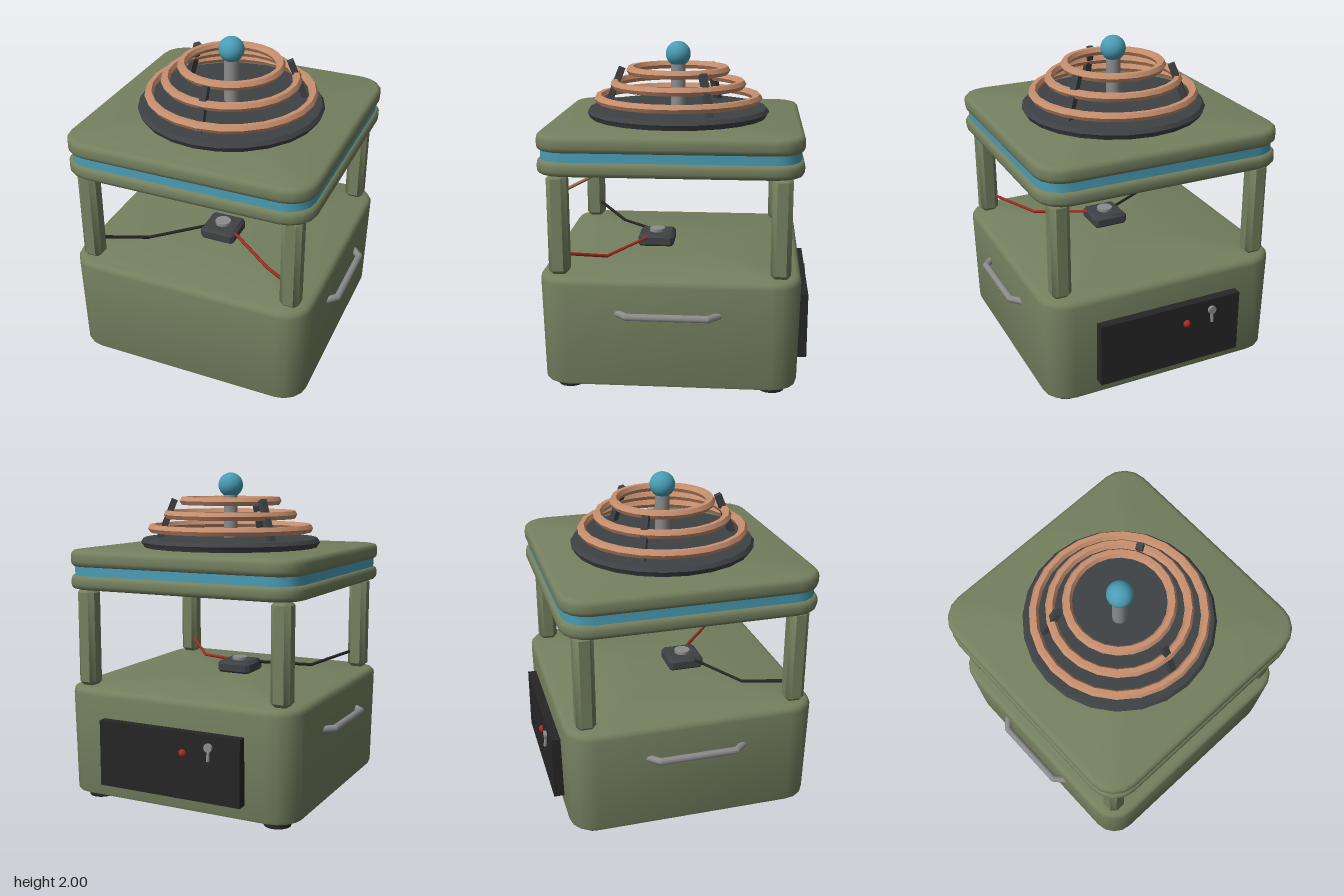
import * as THREE from 'three';
import { toCreasedNormals } from 'three/addons/utils/BufferGeometryUtils.js';

const mat = (color) => new THREE.MeshStandardMaterial({ color });
const M = {
  green: mat(0x74805f), blue: mat(0x4a9db5), copper: mat(0xc8906e), wireCopper: mat(0xa87a58),
  dark: mat(0x3f4245), black: mat(0x262626), steel: mat(0x8c8c8c), red: mat(0xa82c22),
};

// Rounded-rectangle block lofted through rows of [halfWidth, y]; halfZ follows the same inset.
function roundedLoft(rows, radius, steps) {
  const maxHalf = Math.max(...rows.map((r) => r[0]));
  const n = 4 * (steps + 1), pos = [], idx = [];
  for (const [half, y] of rows) {
    const r = Math.max(radius - (maxHalf - half), 0.004);
    for (let c = 0; c < 4; c++) {
      const sx = c === 0 || c === 3 ? 1 : -1, sz = c < 2 ? 1 : -1;
      for (let s = 0; s <= steps; s++) {
        const t = (c + s / steps) * Math.PI / 2;
        pos.push(sx * (half - r) + r * Math.cos(t), y, sz * (half - r) + r * Math.sin(t));
      }
    }
  }
  const last = rows.length - 1;
  pos.push(0, rows[0][1], 0, 0, rows[last][1], 0);
  const bottom = n * rows.length, top = bottom + 1;
  for (let i = 0; i < n; i++) {
    const k = (i + 1) % n;
    for (let j = 0; j < last; j++) {
      const a = j * n + i, b = j * n + k, c = b + n, d = a + n;
      idx.push(a, d, c, a, c, b);
    }
    idx.push(bottom, i, k, top, last * n + k, last * n + i);
  }
  const g = new THREE.BufferGeometry();
  g.setAttribute('position', new THREE.Float32BufferAttribute(pos, 3));
  g.setIndex(idx);
  g.computeVertexNormals();
  return toCreasedNormals(g, 0.65);
}

// Block with bevelled top and bottom edges.
function block(half, y0, y1, bevel, radius, steps, bevelSteps = 3) {
  const rows = [];
  for (let s = 0; s <= bevelSteps; s++) {
    const t = (s / bevelSteps) * Math.PI / 2;
    rows.push([half - bevel * (1 - Math.sin(t)), y0 + bevel * (1 - Math.cos(t))]);
  }
  const upper = rows.map(([h, y]) => [h, y0 + y1 - y]).reverse();
  return roundedLoft([...rows, ...upper], radius, steps);
}

export function createModel() {
  const root = new THREE.Group();
  root.name = 'coilDevice';
  const body = new THREE.Group();
  body.name = 'body';
  body.position.z = 0.035;
  root.add(body);

  const add = (name, geometry, material, x = 0, y = 0, z = 0, parent = body) => {
    const m = new THREE.Mesh(geometry, material);
    m.name = name;
    m.position.set(x, y, z);
    parent.add(m);
    return m;
  };
  // Straight round rods joined at ball elbows along a list of points.
  const rod = (name, points, radius, material, sides = 8) => {
    const group = new THREE.Group();
    group.name = name;
    const p = points.map((q) => new THREE.Vector3(...q));
    for (let i = 0; i < p.length - 1; i++) {
      const dir = p[i + 1].clone().sub(p[i]);
      const mid = p[i].clone().add(p[i + 1]).multiplyScalar(0.5);
      const seg = add(name + 'Segment', new THREE.CylinderGeometry(radius, radius, dir.length(), sides), material, mid.x, mid.y, mid.z, group);
      seg.quaternion.setFromUnitVectors(new THREE.Vector3(0, 1, 0), dir.normalize());
      if (i > 0) add(name + 'Elbow', new THREE.SphereGeometry(radius, sides, 6), material, p[i].x, p[i].y, p[i].z, group);
    }
    body.add(group);
  };

  // Slightly tapered base
  add('base', roundedLoft([
    [0.735, 0.045], [0.748, 0.05], [0.753, 0.065], [0.766, 0.67],
    [0.762, 0.688], [0.75, 0.703], [0.73, 0.71],
  ], 0.17, 4), M.green);

  // Upper deck: two slabs with a coloured band between
  add('lowerSlab', block(0.766, 1.305, 1.392, 0.03, 0.17, 4), M.green);
  add('band', block(0.745, 1.38, 1.45, 0.005, 0.155, 4, 1), M.blue);
  add('upperSlab', block(0.766, 1.44, 1.54, 0.032, 0.17, 4), M.green);

  // Pillars and feet
  for (const sx of [-1, 1]) for (const sz of [-1, 1]) {
    add('pillar', block(0.059, 0.708, 1.307, 0.025, 0.028, 1, 1), M.green, sx * 0.643, 0, sz * 0.643);
    add('foot', new THREE.CylinderGeometry(0.08, 0.08, 0.05, 16), M.black, sx * 0.603, 0.025, sz * 0.603);
  }

  // Side handles
  for (const s of [-1, 1]) {
    rod(s > 0 ? 'leftHandle' : 'rightHandle', [
      [s * 0.745, 0.505, -0.3], [s * 0.808, 0.505, -0.232],
      [s * 0.808, 0.505, 0.232], [s * 0.745, 0.505, 0.3],
    ], 0.022, M.steel);
  }

  // Dome plate
  const plate = [[0, 1.53], [0.545, 1.53], [0.55, 1.545], [0.566, 1.572], [0.55, 1.595], [0, 1.595]];
  add('plate', toCreasedNormals(new THREE.LatheGeometry(plate.map((q) => new THREE.Vector2(...q)), 24), 0.4), M.dark);

  // Stacked coils
  for (let i = 0; i < 3; i++) {
    const g = new THREE.TorusGeometry(0.494 - i * 0.1, 0.028, 6, 24).rotateX(Math.PI / 2);
    add('coil', toCreasedNormals(g, 0.6), M.copper, 0, 1.655 + i * 0.085, 0);
  }

  // Leaning struts that carry the coils
  for (let i = 0; i < 3; i++) {
    const arm = new THREE.Group();
    arm.name = 'strutArm';
    arm.rotation.y = i * Math.PI * 2 / 3;
    body.add(arm);
    const strut = add('strut', new THREE.BoxGeometry(0.04, 0.29, 0.04), M.dark, -0.008, 1.7, 0.405, arm);
    strut.rotation.x = -0.38;
  }

  // Centre post and ball
  add('post', new THREE.CylinderGeometry(0.045, 0.045, 0.29, 14), M.steel, 0, 1.73, 0);
  add('ball', new THREE.SphereGeometry(0.077, 24, 16), M.blue, 0, 1.923, 0);

  // Facing sensor boxes
  add('lowerSensor', block(0.113, 0.705, 0.785, 0.018, 0.02, 1, 1), M.dark, 0, 0, 0.137);
  add('lowerSensorCap', new THREE.CylinderGeometry(0.05, 0.05, 0.025, 16), M.steel, 0, 0.791, 0.137);
  add('upperSensor', block(0.113, 1.23, 1.31, 0.018, 0.02, 1, 1), M.dark, 0, 0, 0.137);
  add('upperSensorCap', new THREE.CylinderGeometry(0.03, 0.03, 0.03, 16), M.steel, 0, 1.22, 0.137);

  // Bent wires to the front pillars
  const wire = (name, s, y, material) => rod(name, [
    [s * 0.1, y[0], 0.19], [s * 0.4, y[1], 0.405], [s * 0.6, y[2], 0.6],
  ], 0.01, material, 6);
  wire('blackWire', -1, [0.768, 0.735, 0.81], M.black);
  wire('redWire', 1, [0.768, 0.735, 0.81], M.red);
  wire('copperWire', 1, [1.25, 1.275, 1.2], M.wireCopper);

  // Rear control panel with lamp and toggle
  add('rearPanel', new THREE.BoxGeometry(0.93, 0.4, 0.07), M.black, 0, 0.34, -0.783);
  add('lamp', new THREE.SphereGeometry(0.024, 12, 8), M.red, -0.1, 0.415, -0.817);
  add('toggleBase', new THREE.CylinderGeometry(0.026, 0.026, 0.03, 12).rotateX(Math.PI / 2), M.steel, -0.27, 0.47, -0.82);
  const lever = add('toggleLever', new THREE.CylinderGeometry(0.01, 0.01, 0.09, 8), M.steel, -0.27, 0.435, -0.825);
  lever.rotation.x = 0.12;

  return root;
}
